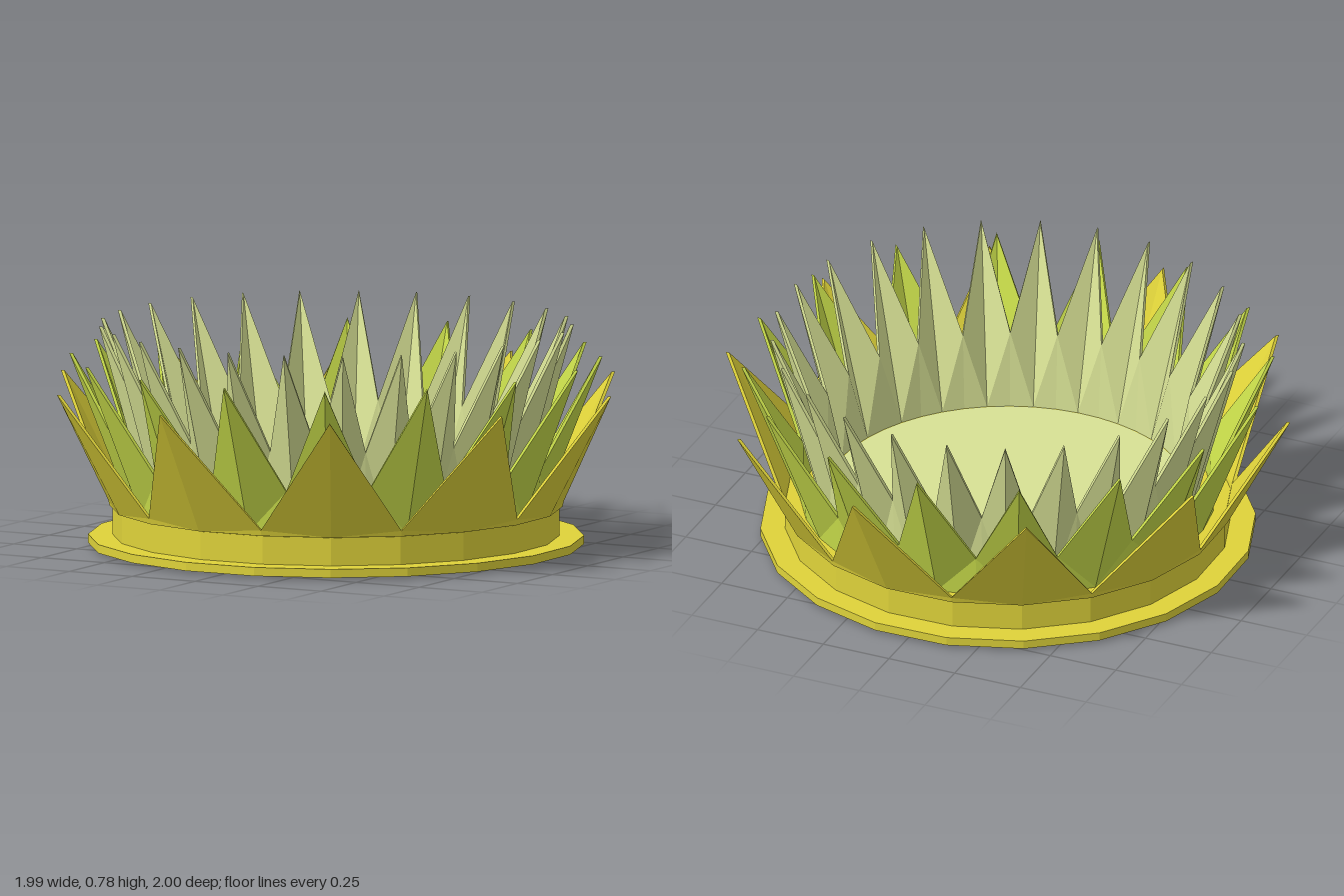
import * as THREE from 'three';

const yellow = new THREE.MeshStandardMaterial({ color: 0xdfd33a, name: 'yellow' });
const lime = new THREE.MeshStandardMaterial({ color: 0xc7db4a, name: 'lime' });
const pale = new THREE.MeshStandardMaterial({ color: 0xd8e295, name: 'pale green' });
const BASE_Y = 0.14;
const rad = THREE.MathUtils.degToRad;

// A closed, folded ring of pointed petals: each has a ridge from base to tip
function petalRing(count, offset, tip, valley, base, thickness) {
  const pos = [];
  const step = Math.PI / count;
  const point = (i, [r, y], inset) => {
    const a = rad(offset) + i * step;
    return [(r - inset) * Math.sin(a), y, (r - inset) * Math.cos(a)];
  };
  const tri = (a, b, c) => pos.push(...a, ...b, ...c);
  for (let k = 0; k < count; k++) {
    for (const side of [-1, 1]) {
      const i = 2 * k;
      const j = i + side;
      const corners = (inset) => ({
        mid: point(i, base, inset), foot: point(j, base, inset),
        top: point(i, tip, inset), low: point(j, valley, inset),
      });
      const o = corners(0);
      const n = corners(thickness);
      // swap corners on the mirrored half so faces keep pointing outward
      const face = (a, b, c) => (side > 0 ? tri(a, b, c) : tri(a, c, b));
      face(o.mid, o.foot, o.low);
      face(o.mid, o.low, o.top);
      face(n.mid, n.low, n.foot);
      face(n.mid, n.top, n.low);
      // sloping rim and underside
      face(o.top, o.low, n.low);
      face(o.top, n.low, n.top);
      face(o.mid, n.foot, o.foot);
      face(o.mid, n.mid, n.foot);
    }
  }
  const geo = new THREE.BufferGeometry();
  geo.setAttribute('position', new THREE.Float32BufferAttribute(pos, 3));
  geo.computeVertexNormals();
  return geo;
}

// Upright faceted disc between two heights
function disc(radius, y0, y1, sides, offset) {
  const geo = new THREE.CylinderGeometry(radius, radius, y1 - y0, sides, 1, false, rad(offset));
  return geo.translate(0, (y0 + y1) / 2, 0).toNonIndexed();
}

export function createModel() {
  const model = new THREE.Group();
  model.name = 'petalledDish';
  const add = (name, geo, material) => {
    geo.computeVertexNormals();
    const mesh = new THREE.Mesh(geo, material);
    mesh.name = name;
    model.add(mesh);
  };

  // base
  add('baseFlange', disc(0.86, 0.01, 0.04, 20, -8), yellow);
  add('baseWall', disc(0.775, 0.04, BASE_Y - 0.002, 20, -8), yellow);
  add('dishFloor', disc(0.635, 0, BASE_Y, 64, 0), pale);

  // petal rings: count, turn in degrees, then [radius, height] of tip, valley and base
  add('outerPetals', petalRing(10, -8, [1.01, 0.57], [0.79, 0.16], [0.785, BASE_Y], 0.012), yellow);
  add('middlePetals', petalRing(16, 4.3, [0.925, 0.67], [0.73, 0.29], [0.72, BASE_Y], 0.012), lime);
  add('innerPetals', petalRing(25, 2.1, [0.825, 0.78], [0.67, 0.42], [0.65, BASE_Y], 0.012), pale);

  return model;
}
